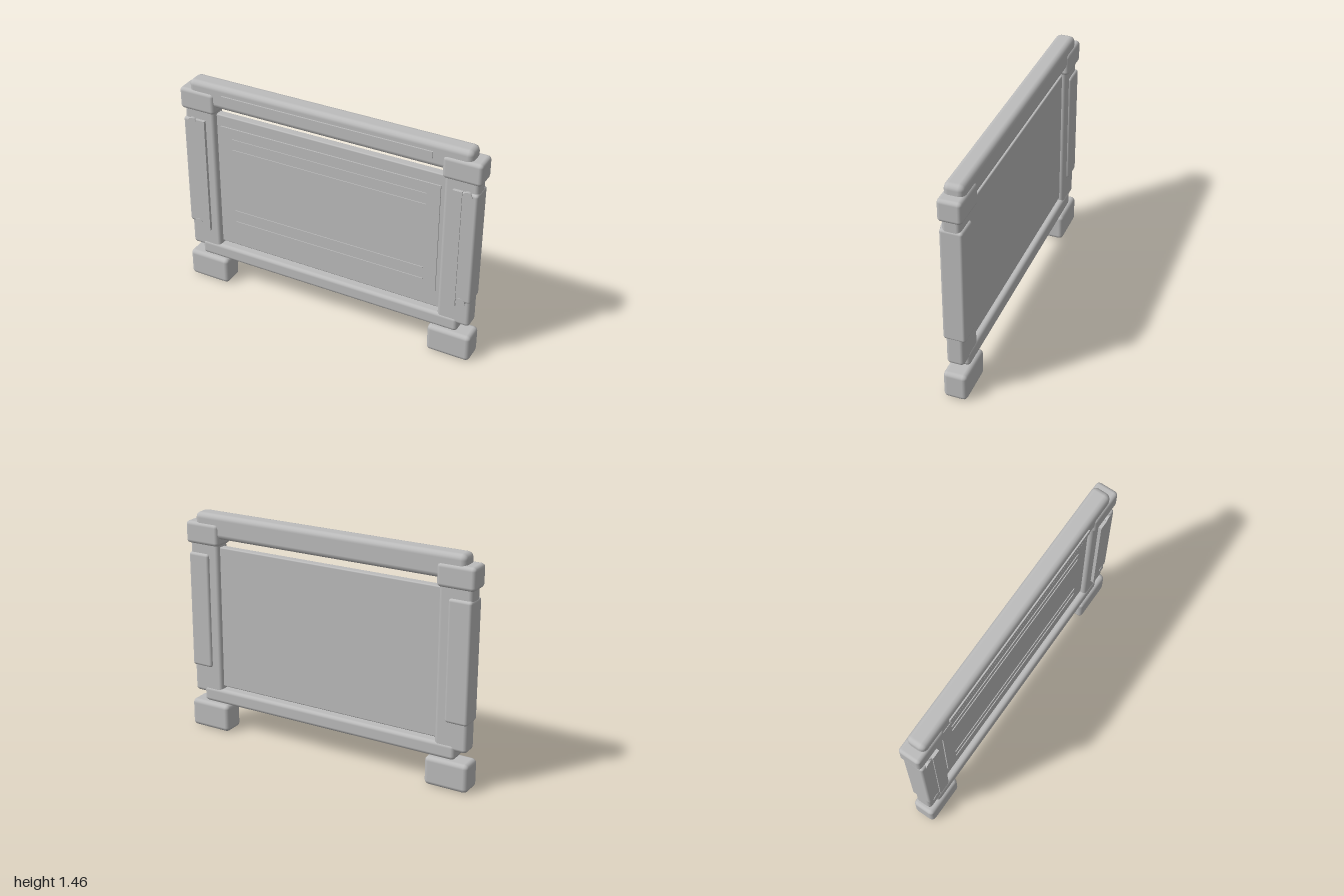
import * as THREE from 'three';
import { RoundedBoxGeometry } from 'three/addons/geometries/RoundedBoxGeometry.js';

export function createModel() {
  const model = new THREE.Group();
  model.name = 'framedPanel';
  const grey = new THREE.MeshStandardMaterial({ color: 0xbcbcbc });
  grey.name = 'plainGrey';

  function add(name, geometry, x, y, z) {
    const mesh = new THREE.Mesh(geometry, grey);
    mesh.name = name;
    mesh.position.set(x, y, z);
    model.add(mesh);
    return mesh;
  }
  // Boxes are given by their lower and upper limits on each axis
  function box(name, [x0, x1], [y0, y1], [z0, z1], radius = 0) {
    const size = [x1 - x0, y1 - y0, z1 - z0];
    const geometry = radius
      ? new RoundedBoxGeometry(...size, 2, radius)
      : new THREE.BoxGeometry(...size);
    return add(name, geometry, (x0 + x1) / 2, (y0 + y1) / 2, (z0 + z1) / 2);
  }

  // Rails across the top and bottom
  box('topRail', [-0.935, 0.935], [1.3, 1.46], [-0.062, 0.062], 0.035);
  box('topRailPlate', [-0.7, 0.695], [1.363, 1.405], [0.055, 0.071]);
  box('bottomRail', [-0.905, 0.905], [0.19, 0.29], [-0.06, 0.06], 0.024);

  // Recessed panel with a raised field and four thin ribs
  box('panel', [-0.775, 0.775], [0.305, 1.245], [-0.03, 0.022], 0.008);
  box('panelField', [-0.74, 0.74], [0.42, 1.17], [0.02, 0.03]);
  for (const y of [1.095, 1.02, 0.573, 0.49]) {
    box('panelRib', [-0.655, 0.655], [y - 0.004, y + 0.004], [0.028, 0.035]);
  }

  // Posts, sleeves, caps, feet and fittings on both sides
  for (const s of [-1, 1]) {
    const side = s > 0 ? 'left' : 'right';
    const span = (a, b) => (s > 0 ? [a, b] : [-b, -a]);
    box(side + 'Post', span(0.768, 0.98), [0.248, 1.3], [-0.055, 0.055], 0.024);
    box(side + 'Sleeve', span(0.835, 0.984), [0.43, 1.195], [-0.07, 0.07], 0.018);
    box(side + 'Cap', span(0.757, 1), [1.253, 1.397], [-0.073, 0.073], 0.024);
    box(side + 'Foot', span(0.715, 1), [0, 0.185], [-0.074, 0.074], 0.028);
    box(side + 'PostPlate', span(0.83, 0.889), [0.392, 1.197], [0.05, 0.076]);
    for (const y of [0.428, 1.172]) {
      const disc = new THREE.CylinderGeometry(0.03, 0.03, 0.022, 20).rotateX(Math.PI / 2);
      add(side + 'Bolt', disc, s * 0.92, y, 0.062);
    }
  }
  return model;
}
